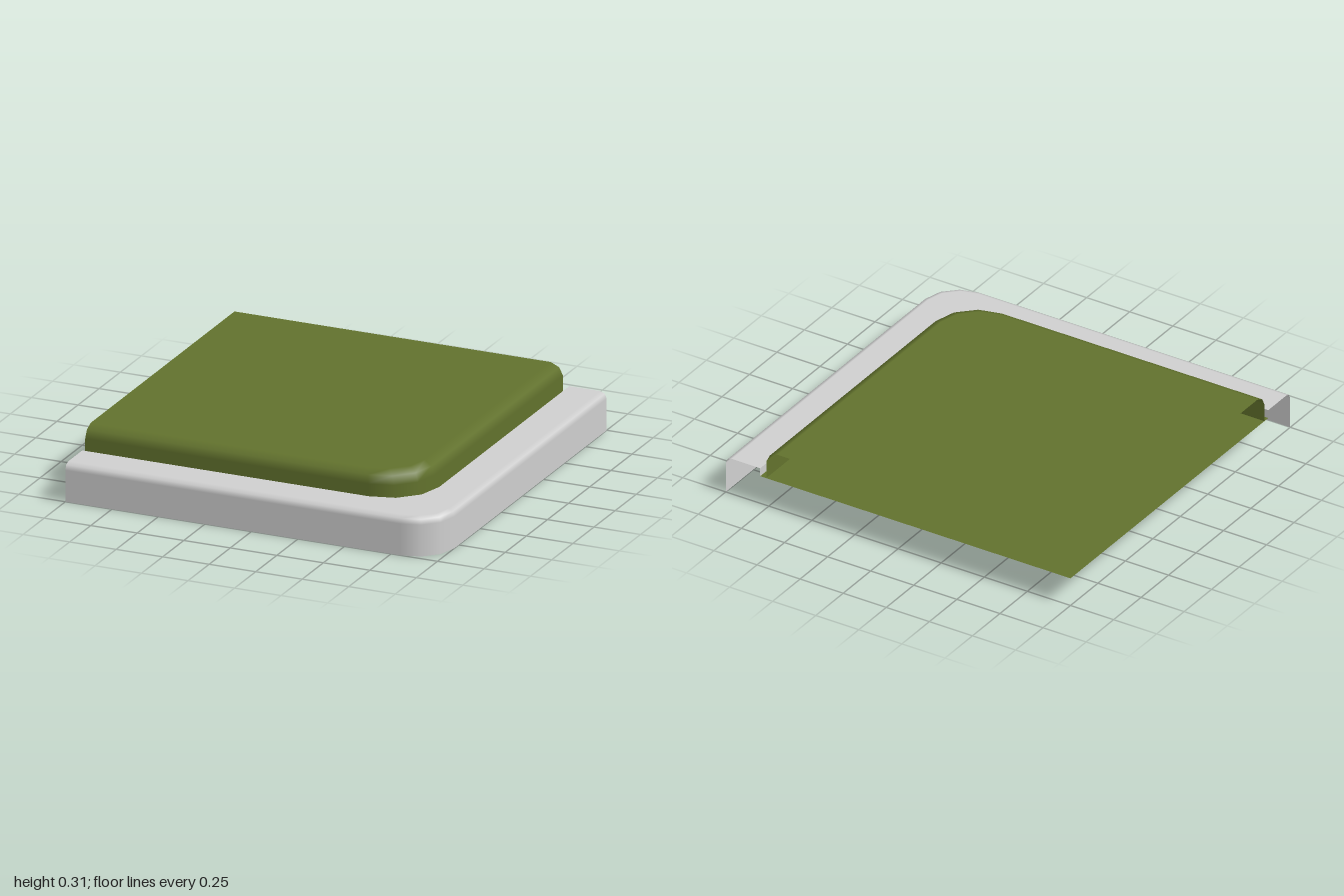
import * as THREE from 'three';

const STEPS = 3; // segments in each rounded corner

// Path from the left cut edge, round the front corner, to the back cut edge.
// Each entry is [x, z, outward x, outward z]; a null edge collapses to the far corner.
function cornerPath(edge, radius) {
  const points = [];
  for (let j = -1; j <= STEPS + 1; j++) {
    const a = (Math.PI / 2) * (1 - THREE.MathUtils.clamp(j / STEPS, 0, 1));
    const nx = Math.cos(a), nz = Math.sin(a);
    let x = edge - radius + radius * nx, z = edge - radius + radius * nz;
    if (j < 0) x = -1;
    if (j > STEPS) z = -1;
    if (edge === null) x = z = -1;
    points.push([x, z, nx, nz]);
  }
  return points;
}

// Strip through profile rows [edge, corner radius, height, normal tilt in degrees].
function sweep(rows) {
  const position = [], normal = [], index = [];
  const n = STEPS + 3;
  rows.forEach(([edge, radius, y, tilt], i) => {
    const t = THREE.MathUtils.degToRad(tilt);
    cornerPath(edge, radius).forEach(([x, z, nx, nz], j) => {
      position.push(x, y, z);
      normal.push(nx * Math.cos(t), Math.sin(t), nz * Math.cos(t));
      if (i && j) {
        const c = i * n + j - 1, d = c + 1, a = c - n, b = d - n;
        index.push(a, b, d, a, d, c);
      }
    });
  });
  const g = new THREE.BufferGeometry();
  g.setAttribute('position', new THREE.Float32BufferAttribute(position, 3));
  g.setAttribute('normal', new THREE.Float32BufferAttribute(normal, 3));
  g.setIndex(index);
  return g;
}

export function createModel() {
  const stone = new THREE.MeshStandardMaterial({ color: 0xcfcfcf, side: THREE.DoubleSide });
  stone.name = 'pale stone';
  const grass = new THREE.MeshStandardMaterial({ color: 0x62722d, side: THREE.DoubleSide });
  grass.name = 'grass green';

  const group = new THREE.Group();
  const add = (name, material, rows) => {
    const mesh = new THREE.Mesh(sweep(rows), material);
    mesh.name = name;
    group.add(mesh);
  };

  // Kerb: outer wall, rounded lip, flat top and short inner wall
  add('kerb', stone, [
    [1, 0.2, 0, 0], [1, 0.2, 0.165, 0], [0.99, 0.19, 0.19, 45], [0.965, 0.18, 0.2, 90],
    [0.8, 0.26, 0.2, 90], [0.8, 0.26, 0.2, 180], [0.8, 0.26, 0.155, 180],
  ]);

  // Sunken bed under the lawn, with its thin outer rim
  add('lawnBed', grass, [
    [0.802, 0.262, 0.155, 0], [0.802, 0.262, 0.198, 0],
  ]);
  add('lawnBedFloor', grass, [[0.802, 0.262, 0.155, 90], [null, 0, 0.155, 90]]);

  // Raised lawn with a rounded shoulder
  add('lawn', grass, [
    [0.765, 0.245, 0.155, 0], [0.765, 0.245, 0.25, 0], [0.745, 0.235, 0.29, 40],
    [0.7, 0.21, 0.31, 90], [null, 0, 0.31, 90],
  ]);

  return group;
}
